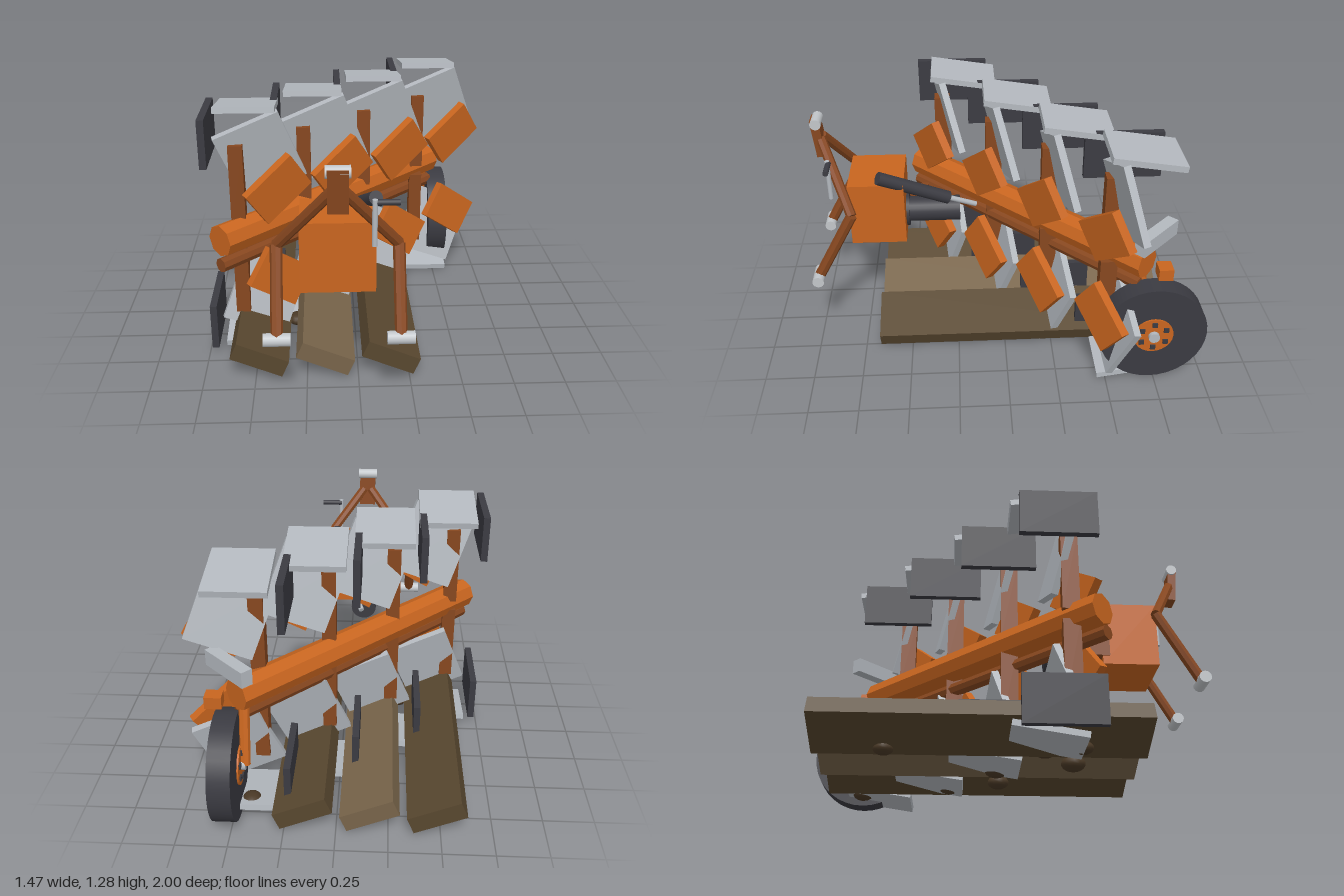
import * as THREE from 'three';

const mat = (name, color) => {
  const m = new THREE.MeshStandardMaterial({ color });
  m.name = name;
  return m;
};
const V = (x, y, z) => new THREE.Vector3(x, y, z);

export function createModel() {
  const orange = mat('orange paint', 0xc8651f);
  const rust = mat('dark orange paint', 0x87471f);
  const steel = mat('steel', 0xb4b9bf);
  const pinSteel = mat('bright pin steel', 0xc2c6ca);
  const black = mat('black rubber and iron', 0x3b3b42);
  const soil = mat('dark soil', 0x58472f);
  const soilLight = mat('light soil', 0x78644a);
  const clodSoil = mat('clod soil', 0x4a3926);

  const model = new THREE.Group();
  model.name = 'reversiblePlough';

  const add = (parent, name, geometry, material, x, y, z) => {
    const mesh = new THREE.Mesh(geometry, material);
    mesh.name = name;
    mesh.position.set(x, y, z);
    parent.add(mesh);
    return mesh;
  };
  const box = (parent, name, material, size, x, y, z) =>
    add(parent, name, new THREE.BoxGeometry(...size), material, x, y, z);
  // Round or faceted bar between two points
  const bar = (parent, name, material, a, b, r, sides = 16) => {
    const d = b.clone().sub(a);
    let g = new THREE.CylinderGeometry(r, r, d.length(), sides);
    if (sides <= 8) {
      g = g.toNonIndexed();
      g.computeVertexNormals();
    }
    const mesh = add(parent, name, g, material, ...a.clone().add(b).multiplyScalar(0.5).toArray());
    mesh.quaternion.setFromUnitVectors(V(0, 1, 0), d.normalize());
    return mesh;
  };
  // Rectangular plate spanned by two edge vectors around a centre
  const plate = (parent, name, material, u, v, thick, c) => {
    const mesh = box(parent, name, material, [u.length(), v.length(), thick], c.x, c.y, c.z);
    const n = u.clone().cross(v).normalize();
    const ux = u.clone().normalize();
    const vy = n.clone().cross(ux);
    mesh.quaternion.setFromRotationMatrix(new THREE.Matrix4().makeBasis(ux, vy, n));
    return mesh;
  };

  // Diagonal main beam, lower bar and beam end fittings
  bar(model, 'mainBeam', orange, V(-0.66, 0.642, 0.447), V(0.47, 0.642, -0.685), 0.08, 8);
  bar(model, 'lowerBar', rust, V(-0.66, 0.52, 0.465), V(0.47, 0.52, -0.66), 0.036, 8);
  box(model, 'beamEndBlock', orange, [0.08, 0.06, 0.07], 0.56, 0.657, -0.75);
  box(model, 'beamEndPlate', steel, [0.28, 0.08, 0.06], 0.49, 0.81, -0.71).rotation.y = -Math.PI / 4;

  // Four plough bodies, each with an upper and lower mirrored set
  const midY = 0.642;
  for (let i = 0; i < 4; i++) {
    const body = new THREE.Group();
    body.name = 'ploughBody' + (i + 1);
    body.position.set(-0.575 + 0.3185 * i, midY, 0.31 - 0.273 * i);
    model.add(body);
    for (const s of [1, -1]) {
      const set = s > 0 ? 'upper' : 'lower';
      box(body, set + 'Leg', rust, [0.07, 0.42, 0.085], 0, s * 0.237, 0);
      plate(body, set + 'Share', orange, V(0.208, s * 0.17, -0.115), V(-0.1, s * 0.165, 0.08),
        0.045, V(0.195, s * 0.236, 0.055));
      plate(body, set + 'Mouldboard', steel, V(0.31, s * 0.125, -0.035), V(0.15, s * -0.34, -0.1),
        0.035, V(0.113, s * 0.37, -0.04));
      box(body, set + 'WingPlate', steel, [0.29, 0.03, 0.345], 0.05, s * 0.6, -0.118).rotation.x = -s * 0.155;
      box(body, set + 'Landside', black, [0.034, 0.238, 0.38], -0.142, s * 0.484, -0.06);
    }
  }

  // Headstock with turnover shaft
  const cx = -0.0985;
  box(model, 'headstock', orange, [0.342, 0.34, 0.285], cx, 0.715, 0.652);
  bar(model, 'turnoverShaft', black, V(cx, 0.645, 0.52), V(cx, 0.645, 0.225), 0.067, 24);
  bar(model, 'shaftCollar', black, V(cx, 0.645, 0.53), V(cx, 0.645, 0.495), 0.09, 24);
  box(model, 'turnoverBlock', rust, [0.075, 0.11, 0.15], -0.24, 0.645, 0.47);

  // Hydraulic ram
  bar(model, 'ramBody', black, V(0.078, 0.935, 0.635), V(-0.037, 0.745, 0.285), 0.034);
  bar(model, 'ramRod', steel, V(-0.037, 0.745, 0.285), V(-0.088, 0.67, 0.14), 0.014);

  // Linkage frame: mast, two bent arms and coupling pins
  box(model, 'mast', rust, [0.09, 0.2, 0.045], cx, 1.095, 0.932).rotation.x = 0.1;
  bar(model, 'topPin', pinSteel, V(cx - 0.054, 1.178, 0.935), V(cx + 0.054, 1.178, 0.935), 0.028);
  for (const s of [-1, 1]) {
    const x = cx + s * 0.272;
    const elbow = V(x, 0.775, 0.77);
    bar(model, 'upperArm', rust, V(cx + s * 0.02, 1.09, 0.92), elbow, 0.026, 8);
    bar(model, 'lowerArm', rust, elbow, V(x, 0.42, 0.965), 0.028, 8);
    bar(model, 'lowerPin', pinSteel, V(x - 0.061, 0.412, 0.97), V(x + 0.061, 0.412, 0.97), 0.03);
  }

  // Hand lever
  bar(model, 'leverRod', steel, V(0.058, 0.815, 0.88), V(0.058, 1.03, 0.88), 0.012);
  bar(model, 'leverGrip', black, V(0.055, 1.015, 0.875), V(0.165, 1.015, 0.875), 0.014);

  // Depth wheel
  const wheel = new THREE.Group();
  wheel.name = 'depthWheel';
  wheel.position.set(0.522, 0.276, -0.728);
  model.add(wheel);
  bar(wheel, 'tyre', black, V(-0.055, 0, 0), V(0.055, 0, 0), 0.272, 36);
  bar(wheel, 'hubDisc', orange, V(-0.064, 0, 0), V(0.064, 0, 0), 0.1, 24);
  bar(wheel, 'axle', steel, V(-0.085, 0, 0), V(0.085, 0, 0), 0.028);
  for (let k = 0; k < 6; k++) {
    const a = (k + 0.5) * Math.PI / 3;
    box(wheel, 'wheelBolt', black, [0.144, 0.026, 0.026], 0, Math.sin(a) * 0.07, Math.cos(a) * 0.07);
  }
  bar(model, 'wheelArm', orange, V(0.44, 0.6, -0.655), V(0.44, 0.276, -0.728), 0.026, 8);

  // Turned furrow slices
  [-0.48, -0.16, 0.16].forEach((x, i) => {
    box(model, 'furrowSlice' + (i + 1), i === 1 ? soilLight : soil, [0.272, 0.09, 1.55], x, 0.107, -0.105)
      .rotation.z = -0.4;
  });

  // Loose clods
  const clods = [
    [-0.45, 0.032, 0.36, 0.045], [-0.4, 0.032, -0.55, 0.045], [-0.31, 0.06, 0.2, 0.045],
    [-0.18, 0.045, 0.35, 0.055], [-0.08, 0.04, -0.02, 0.055], [0.14, 0.045, 0.0, 0.05],
    [0.21, 0.04, -0.25, 0.055], [0.42, 0.055, -0.72, 0.05],
  ];
  for (const [x, y, z, r] of clods) {
    add(model, 'clod', new THREE.SphereGeometry(r, 14, 10), clodSoil, x, y, z).scale.set(1, 0.7, 1.1);
  }

  return model;
}
